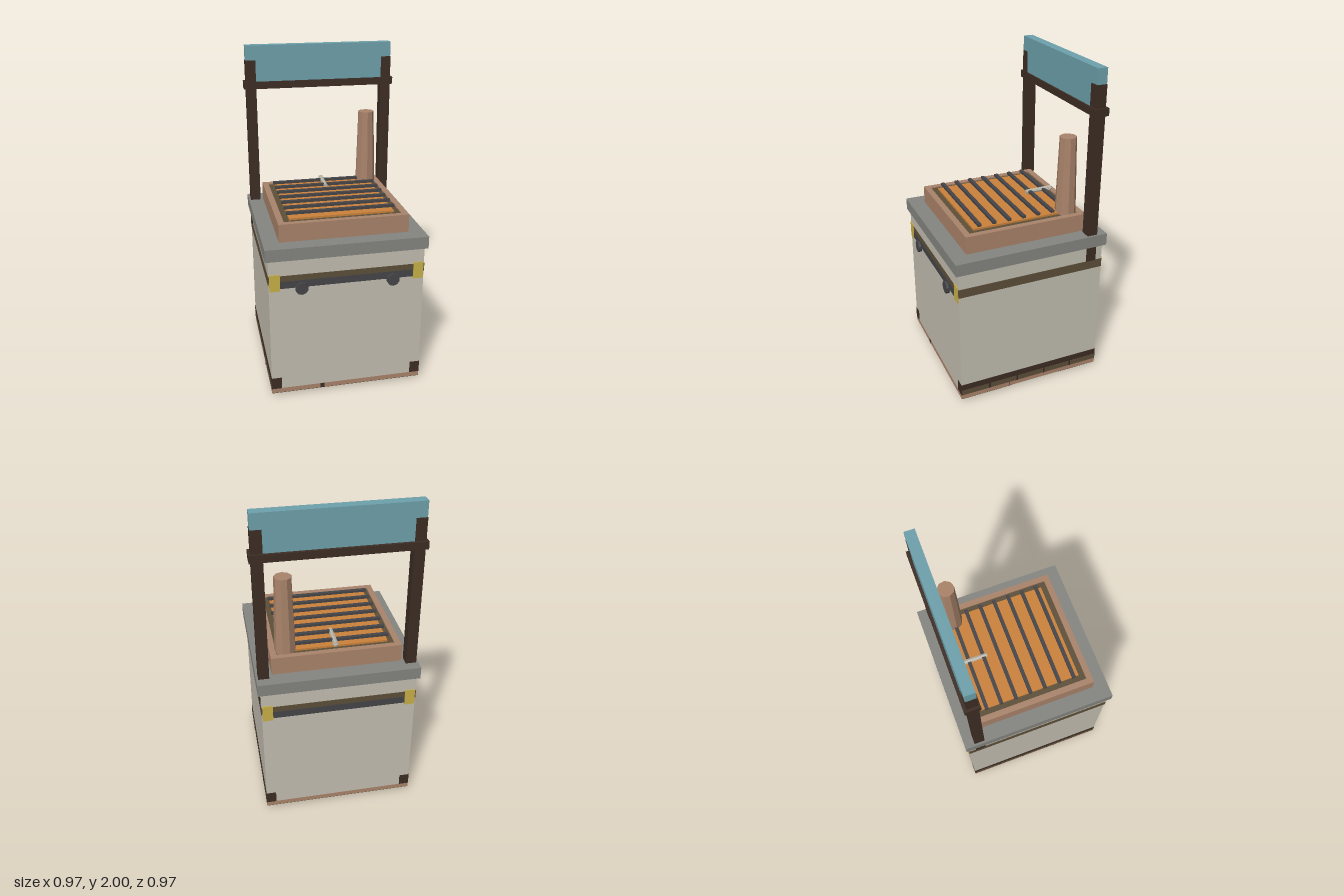
import * as THREE from 'three';

const mat = (name, color) => new THREE.MeshStandardMaterial({ name, color, flatShading: true });

export function createModel() {
  const M = {
    plaster: mat('plaster', 0xc2bdb0), clay: mat('clay', 0xa9836a), stone: mat('stone', 0x848580),
    darkWood: mat('darkWood', 0x3d2d24), teal: mat('teal', 0x6da0ab), olive: mat('oliveWood', 0x5d4f39),
    iron: mat('iron', 0x454549), brass: mat('brass', 0xc8b048), ember: mat('ember', 0xca813a),
    pale: mat('paleMetal', 0xbab5a8),
  };
  const root = new THREE.Group();
  root.name = 'grillStand';

  const add = (name, geo, material, x, y, z) => {
    const m = new THREE.Mesh(geo, material);
    m.name = name;
    m.position.set(x, y, z);
    root.add(m);
    return m;
  };
  // Box given by its lower and upper limits
  const box = (name, material, x0, x1, y0, y1, z0, z1) => add(name,
    new THREE.BoxGeometry(x1 - x0, y1 - y0, z1 - z0), material,
    (x0 + x1) / 2, (y0 + y1) / 2, (z0 + z1) / 2);

  // Cabinet
  box('cabinet', M.plaster, -0.467, 0.467, 0.05, 0.91, -0.467, 0.467);
  box('base', M.clay, -0.468, 0.468, 0.021, 0.05, -0.468, 0.468);
  box('counterSlab', M.stone, -0.485, 0.485, 0.91, 0.985, -0.485, 0.485);

  // Underside boards and drain
  box('undersideFront', M.olive, -0.467, 0.467, 0.018, 0.022, 0.13, 0.467);
  box('undersideBack', M.olive, -0.467, 0.467, 0.018, 0.022, -0.467, -0.2);
  add('drain', new THREE.CylinderGeometry(0.065, 0.025, 0.022, 8), M.iron, 0, 0.011, 0);

  // Side runners, floor plank ends and trim
  for (const s of [-1, 1]) {
    const side = (name, material, y0, y1, z0, z1, out) =>
      box(name, material, s * 0.468 - out, s * 0.468 + out, y0, y1, z0, z1);
    box('runner', M.darkWood, s * 0.438 - 0.031, s * 0.438 + 0.031, 0.05, 0.125, -0.469, 0.469);
    side('plankEnds', M.olive, 0.05, 0.085, -0.465, 0.465, 0.002);
    for (const z of [-0.28, -0.094, 0.094, 0.28])
      side('plankGap', M.darkWood, 0.05, 0.085, z - 0.006, z + 0.006, 0.003);
    side('baseJoint', M.darkWood, 0.021, 0.05, 0.147, 0.151, 0.0015);
    side('sideBand', M.olive, 0.755, 0.81, -0.468, 0.468, 0.002);

    // Front and back rails with brass corner brackets
    const face = (name, material, x0, x1, y0, y1, out) =>
      box(name, material, x0, x1, y0, y1, s * 0.468 - out, s * 0.468 + out);
    face('faceBand', M.olive, -0.468, 0.468, 0.765, 0.81, 0.0015);
    face('rail', M.iron, -0.405, 0.405, 0.73, 0.775, 0.003);
    for (const x of [-0.432, 0.432])
      face('bracket', M.brass, x - 0.031, x + 0.031, 0.715, 0.82, 0.004);
  }
  box('frontBaseJoint', M.darkWood, -0.167, -0.143, 0.021, 0.05, 0.466, 0.4695);

  // Round feet of the front rail
  for (const x of [-0.275, 0.275])
    add('knob', new THREE.CylinderGeometry(0.038, 0.038, 0.022, 10), M.iron, x, 0.725, 0.476)
      .rotation.x = Math.PI / 2;

  // Fire tray: open clay rim with a wooden lining and embers
  const rim = new THREE.Shape([[-0.39, -0.387], [0.39, -0.387], [0.39, 0.387], [-0.39, 0.387]]
    .map(p => new THREE.Vector2(...p)));
  rim.holes.push(new THREE.Path([[-0.353, -0.35], [-0.353, 0.35], [0.353, 0.35], [0.353, -0.35]]
    .map(p => new THREE.Vector2(...p))));
  add('trayRim', new THREE.ExtrudeGeometry(rim, { depth: 0.11, bevelEnabled: false }), M.clay, 0, 0.985, 0)
    .rotation.x = -Math.PI / 2;
  box('trayLining', M.olive, -0.353, 0.353, 0.985, 1.088, -0.35, 0.35);
  box('embers', M.ember, -0.317, 0.317, 1.08, 1.1, -0.322, 0.313);

  // Grill bars
  for (let i = 0; i < 7; i++) {
    const z = -0.287 + i * 0.094;
    box('grillBar', M.iron, -0.328, 0.328, 1.112, 1.128, z - 0.011, z + 0.011);
  }

  // Skewer lying on the bars
  const skewer = add('skewer', new THREE.CylinderGeometry(0.013, 0.016, 0.175, 8), M.pale, 0, 1.119, -0.257);
  skewer.rotation.x = Math.PI / 2;
  add('skewerTip', new THREE.SphereGeometry(0.019, 8, 6), M.pale, 0, 1.115, -0.332).scale.y = 0.8;

  // Chimney
  add('chimney', new THREE.CylinderGeometry(0.051, 0.068, 0.585, 9), M.clay, 0.295, 1.2775, -0.295);

  // Sign frame
  for (const s of [-1, 1])
    box('post', M.darkWood, s * 0.44 - 0.032, s * 0.44 + 0.032, 0.81, 1.908, -0.424, -0.36);
  box('crossbar', M.darkWood, -0.485, 0.485, 1.73, 1.775, -0.44, -0.35);
  box('signBoard', M.teal, -0.47, 0.47, 1.775, 2, -0.4225, -0.3615);

  return root;
}
